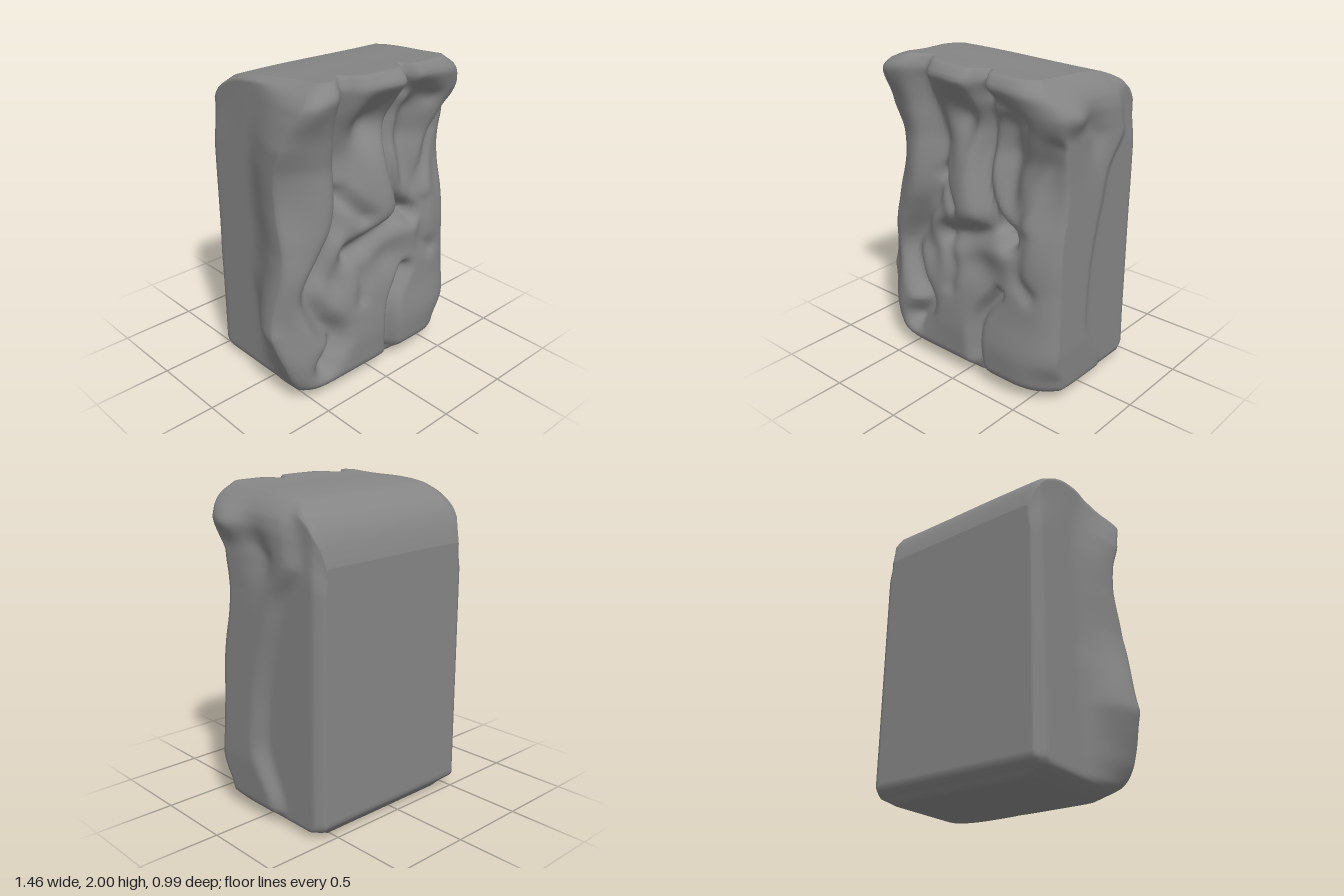
import * as THREE from 'three';
import { mergeVertices } from 'three/addons/utils/BufferGeometryUtils.js';

const { clamp, lerp, smoothstep } = THREE.MathUtils;

// Piecewise-linear profile through [position, value] pairs
function linear(pts, t) {
  if (t <= pts[0][0]) return pts[0][1];
  for (let i = 1; i < pts.length; i++) {
    const [a, va] = pts[i - 1], [b, vb] = pts[i];
    if (t <= b) return lerp(va, vb, (t - a) / (b - a));
  }
  return pts[pts.length - 1][1];
}

// The same profile with its corners softened
function profile(pts, t, soft = 0.03) {
  return (linear(pts, t - soft) + 2 * linear(pts, t) + linear(pts, t + soft)) / 4;
}

// Half widths of the front by height
const LEFT = [[0, 0.43], [0.02, 0.5], [0.06, 0.57], [0.2, 0.64], [0.35, 0.69], [0.5, 0.735], [0.7, 0.7],
  [0.85, 0.67], [1, 0.645], [1.3, 0.635], [1.65, 0.65], [1.8, 0.62], [1.9, 0.59], [1.97, 0.52], [2, 0.43]];
const RIGHT = [[0, 0.54], [0.03, 0.61], [0.08, 0.68], [0.35, 0.695], [0.6, 0.69], [1, 0.68], [1.4, 0.67],
  [1.6, 0.675], [1.8, 0.67], [1.88, 0.65], [1.95, 0.6], [2, 0.54]];
// Front depth by height, crown height by depth, and the ridge down the side
const FRONT = [[0, 0.3], [0.04, 0.37], [0.1, 0.42], [0.3, 0.42], [0.5, 0.4], [0.75, 0.39], [0.9, 0.4],
  [1.1, 0.41], [1.3, 0.4], [1.5, 0.38], [1.7, 0.41], [1.85, 0.45], [1.94, 0.48], [2, 0.42]];
const CROWN = [[-0.5, 1.6], [-0.48, 1.7], [-0.45, 1.77], [-0.4, 1.84], [-0.35, 1.88], [-0.28, 1.92],
  [-0.2, 1.95], [-0.1, 1.965], [0, 1.975], [0.2, 1.985], [0.4, 2]];
const RIDGE = [[0.1, -0.14], [0.25, -0.1], [0.45, 0.01], [0.75, 0], [1.2, -0.09], [1.37, -0.13], [1.6, -0.33]];

// Creases cut into the front: path, depth, width
const CREASES = [
  [[[-0.27, 2.02], [-0.28, 1.8], [-0.26, 1.6], [-0.25, 1.4], [-0.28, 1.15], [-0.38, 0.95], [-0.49, 0.72],
    [-0.42, 0.53], [-0.32, 0.38], [-0.42, 0.24]], 0.11, 0.07],
  [[[0.19, 2.02], [0.18, 1.8], [0.15, 1.6], [0.14, 1.4], [0.18, 1.2], [0.24, 1.07], [0.34, 1]], 0.1, 0.045],
  [[[0.2, 1.86], [0.33, 1.82], [0.45, 1.75]], 0.04, 0.05],
  [[[-0.22, 1.27], [-0.16, 1.2], [-0.09, 1.12]], 0.06, 0.05],
  [[[-0.18, 0.9], [-0.06, 0.93], [0.09, 0.98], [0.22, 1.03]], 0.11, 0.08],
  [[[0.14, 0.06], [0.12, 0.25], [0.14, 0.45], [0.27, 0.64]], 0.09, 0.04],
  [[[0.34, 1], [0.41, 1.2], [0.52, 1.42], [0.63, 1.62]], 0.05, 0.06],
  [[[0.44, 1.05], [0.42, 0.8], [0.5, 0.71]], 0.03, 0.05],
  [[[-0.17, 0.85], [-0.1, 0.7], [-0.11, 0.58]], 0.03, 0.05],
].map(([path, depth, width]) => {
  const curve = new THREE.CatmullRomCurve3(path.map(([x, y]) => new THREE.Vector3(x, y, 0)));
  return { path: curve.getPoints(path.length * 4), depth, width };
});

// Soft hollows and swellings: x, y, radius x, radius y, depth change
const LUMPS = [
  [-0.03, 1.68, 0.14, 0.15, -0.15], [-0.16, 1.45, 0.09, 0.22, -0.07], [0.31, 1.58, 0.13, 0.23, -0.15],
  [0.31, 1.26, 0.09, 0.2, -0.1], [0.34, 1.72, 0.1, 0.08, -0.04], [0.03, 1.93, 0.13, 0.06, 0.03],
  [0.05, 1.17, 0.1, 0.2, 0.035], [-0.2, 1.07, 0.09, 0.11, -0.05], [0.6, 1.3, 0.13, 0.3, -0.1],
  [0.1, 0.8, 0.17, 0.13, -0.06], [0, 0.42, 0.16, 0.2, 0.015], [0.4, 0.32, 0.2, 0.18, 0.02],
  [0.68, 0.12, 0.13, 0.12, -0.08], [-0.68, 0.55, 0.1, 0.22, -0.06], [-0.32, 0.78, 0.12, 0.14, -0.07],
  [-0.62, 1.33, 0.14, 0.33, -0.1], [-0.57, 1.88, 0.12, 0.1, 0.035],
];

function pathDistance(path, x, y) {
  let best = Infinity;
  for (let i = 1; i < path.length; i++) {
    const a = path[i - 1], dx = path[i].x - a.x, dy = path[i].y - a.y;
    const t = clamp(((x - a.x) * dx + (y - a.y) * dy) / (dx * dx + dy * dy), 0, 1);
    best = Math.min(best, Math.hypot(x - a.x - t * dx, y - a.y - t * dy));
  }
  return best;
}

// Soft bump centred on zero
const bump = (a, b) => Math.exp(-a * a - b * b);

// Depth of the carved front face
function frontDepth(x, y, u) {
  let z = profile(FRONT, y) - 0.08 * Math.abs(u) ** 10;
  for (const { path, depth, width } of CREASES) z -= depth * bump(pathDistance(path, x, y) / width, 0);
  for (const [cx, cy, rx, ry, dz] of LUMPS) z += dz * bump((x - cx) / rx, (y - cy) / ry);
  return z;
}

// Half width at a height and depth; the rear is narrower and flatter
function halfWidth(u, y, z) {
  const rear = 1 - smoothstep(z, -0.5, -0.43);
  const shoulder = 0.015 * smoothstep(y, 1.5, 1.85) * (1 - smoothstep(z, -0.5, -0.1));
  const inset = 0.04 * rear + shoulder;
  const fuller = 0.06 * smoothstep(y, 1.5, 1.9);
  if (u < 0) {
    const front = profile(LEFT, y, 0.015);
    return lerp(Math.min(0.55, front + fuller), front, smoothstep(z, -0.08, 0.36)) - inset;
  }
  const front = profile(RIGHT, y, 0.015), ridge = profile(RIDGE, y, 0.06);
  const flare = 0.06 * bump((z - 0.27) / 0.14, (y - 1.8) / 0.09);
  const hollow = 0.045 * bump((z - 0.06) / 0.13, (y - 1.64) / 0.16);
  return lerp(Math.min(0.63, front + fuller), front, smoothstep(z, ridge - 0.02, ridge + 0.12)) + flare - hollow - inset;
}

// Moves a point of a 2-unit cube onto the rock
function shapePoint(p) {
  const u = p.x, y = p.y + 1, w = (p.z + 1) / 2;
  const x = u * halfWidth(u, y, lerp(-0.5, 0.4, w));
  const back = -0.5 + 0.08 * (1 - smoothstep(y, 0, 0.09));
  const z = lerp(back, frontDepth(x, y, u), w);
  const crown = profile(CROWN, z, 0.01) - 0.02 * smoothstep(x, -0.4, 0.6);
  const top = y > 1.4 ? 1.4 + (y - 1.4) * (crown - 1.4) / 0.6 : y;
  const lift = 0.03 * (1 - smoothstep(y, 0, 0.2)) * smoothstep(z, 0.1, 0.4);
  p.set(x, top + lift, z);
}

export function createModel() {
  const group = new THREE.Group();
  group.name = 'rockBlock';

  let geometry = new THREE.BoxGeometry(2, 2, 2, 64, 90, 34);
  geometry.deleteAttribute('uv');
  geometry.deleteAttribute('normal');
  geometry = mergeVertices(geometry, 1e-4);
  const position = geometry.attributes.position;
  const p = new THREE.Vector3();
  for (let i = 0; i < position.count; i++) {
    shapePoint(p.fromBufferAttribute(position, i));
    position.setXYZ(i, p.x, p.y, p.z);
  }
  geometry.computeVertexNormals();

  // Weathered block with a carved front
  const rock = new THREE.Mesh(geometry, new THREE.MeshStandardMaterial({ color: 0x858585 }));
  rock.name = 'rock';
  group.add(rock);
  return group;
}
